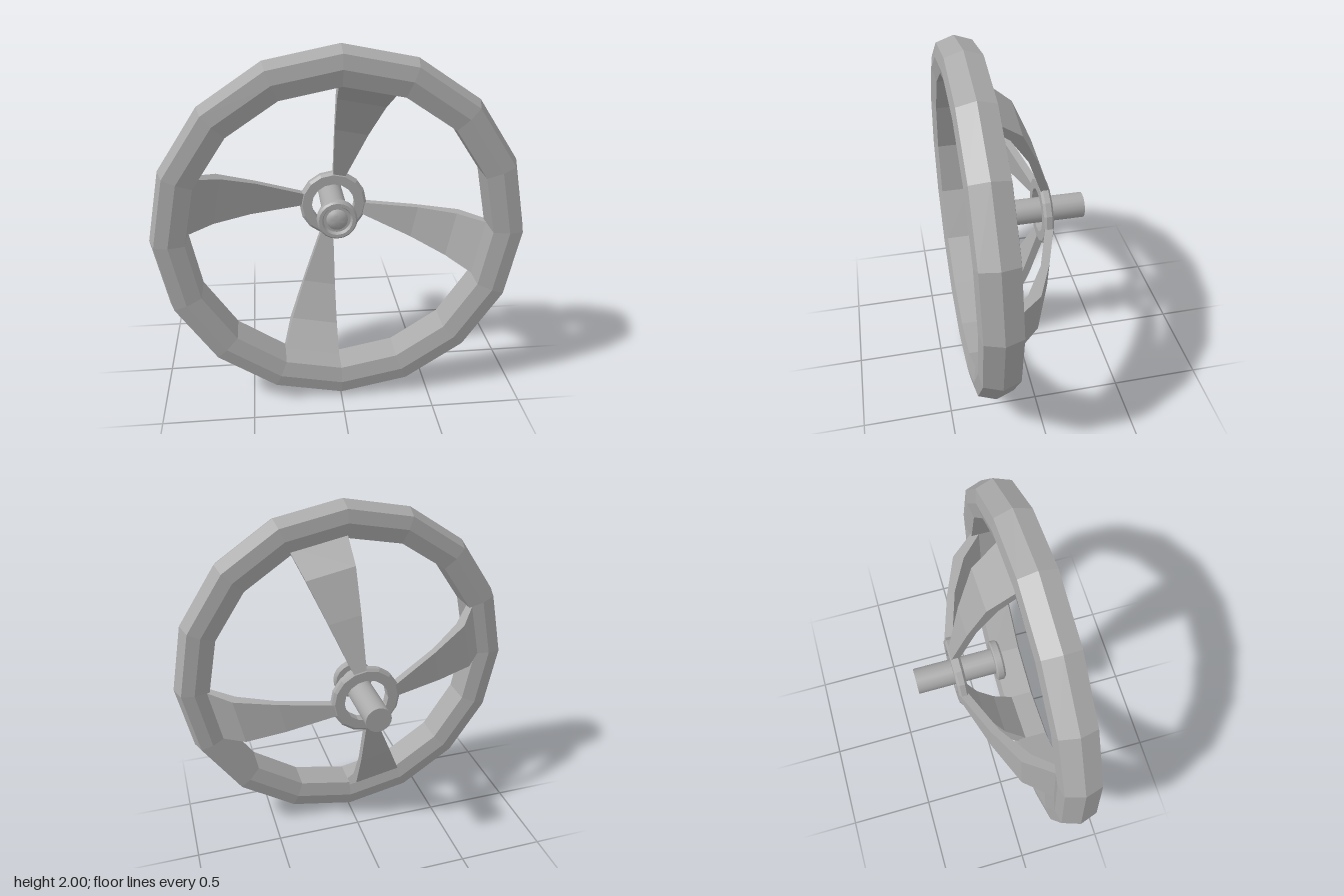
import * as THREE from 'three';
import { toCreasedNormals } from 'three/addons/utils/BufferGeometryUtils.js';

const SIDES = 16;
const STEP = (Math.PI * 2) / SIDES;

// Lathe around the z axis; profile points are [radius, z], outside running towards +z
function turned(name, profile, segments, crease, material) {
  const pts = profile.map(([r, z]) => new THREE.Vector2(r, z));
  const geo = new THREE.LatheGeometry(pts, segments).rotateX(Math.PI / 2);
  const mesh = new THREE.Mesh(toCreasedNormals(geo, crease), material);
  mesh.name = name;
  return mesh;
}

// Curved blade one rim facet wide; stations run from the rim to the hub
function bladeGeometry() {
  const stations = [ // front radius, front z, back radius, back z
    [0.83, 0.24, 0.85, 0.2],
    [0.68, 0.09, 0.705, 0.03],
    [0.48, -0.02, 0.47, -0.07],
    [0.185, -0.115, 0.185, -0.163],
  ];
  const a0 = Math.PI / 2, a1 = a0 - STEP;
  const at = (r, a, z) => [r * Math.cos(a), r * Math.sin(a), z];
  const rings = stations.map(([rf, zf, rb, zb]) =>
    [at(rf, a0, zf), at(rf, a1, zf), at(rb, a1, zb), at(rb, a0, zb)]);
  const pos = [];
  for (let i = 0; i < rings.length - 1; i++) {
    for (let k = 0; k < 4; k++) {
      const n = (k + 1) % 4;
      const a = rings[i][k], b = rings[i + 1][k], c = rings[i + 1][n], d = rings[i][n];
      pos.push(...a, ...b, ...c, ...a, ...c, ...d);
    }
  }
  const geo = new THREE.BufferGeometry();
  geo.setAttribute('position', new THREE.Float32BufferAttribute(pos, 3));
  geo.computeVertexNormals();
  return geo;
}

export function createModel() {
  const metal = new THREE.MeshStandardMaterial({ color: 0xaaaaaa });
  metal.name = 'grey metal';
  const group = new THREE.Group();
  group.name = 'handwheel';
  const wheel = new THREE.Group();
  wheel.name = 'wheel';
  wheel.position.y = 1;
  group.add(wheel);

  // Faceted rim with a ridge around the outside
  wheel.add(turned('rim', [
    [0.81, 0.175], [0.895, 0.155], [0.968, 0.168], [1, 0.265],
    [0.968, 0.362], [0.895, 0.375], [0.81, 0.355], [0.81, 0.175],
  ], SIDES, 0.01, metal));

  // Chamfered hub ring with an open centre
  wheel.add(turned('hubRing', [
    [0.125, -0.167], [0.18, -0.167], [0.195, -0.155], [0.195, -0.125],
    [0.18, -0.112], [0.125, -0.112], [0.125, -0.167],
  ], SIDES, 0.01, metal));

  // Four blades swept back from the rim to the hub
  const blade = bladeGeometry();
  for (let i = 0; i < 4; i++) {
    const spoke = new THREE.Mesh(blade, metal);
    spoke.name = 'spoke' + (i + 1);
    spoke.rotation.z = (i * Math.PI) / 2;
    wheel.add(spoke);
  }

  // Shaft through the hub
  wheel.add(turned('shaft', [
    [0, -0.375], [0.072, -0.375], [0.072, 0.09], [0, 0.09],
  ], 20, 0.6, metal));

  // Collar with a recessed face
  wheel.add(turned('collar', [
    [0.06, 0.072], [0.105, 0.072], [0.113, 0.079], [0.113, 0.11],
    [0.103, 0.121], [0.085, 0.121], [0.076, 0.1], [0.05, 0.1],
  ], 20, 0.5, metal));

  // Domed shaft end
  wheel.add(turned('domeNut', [
    [0.06, 0.09], [0.06, 0.106], [0.05, 0.117], [0.03, 0.124], [0, 0.127],
  ], 20, 0.8, metal));

  return group;
}
